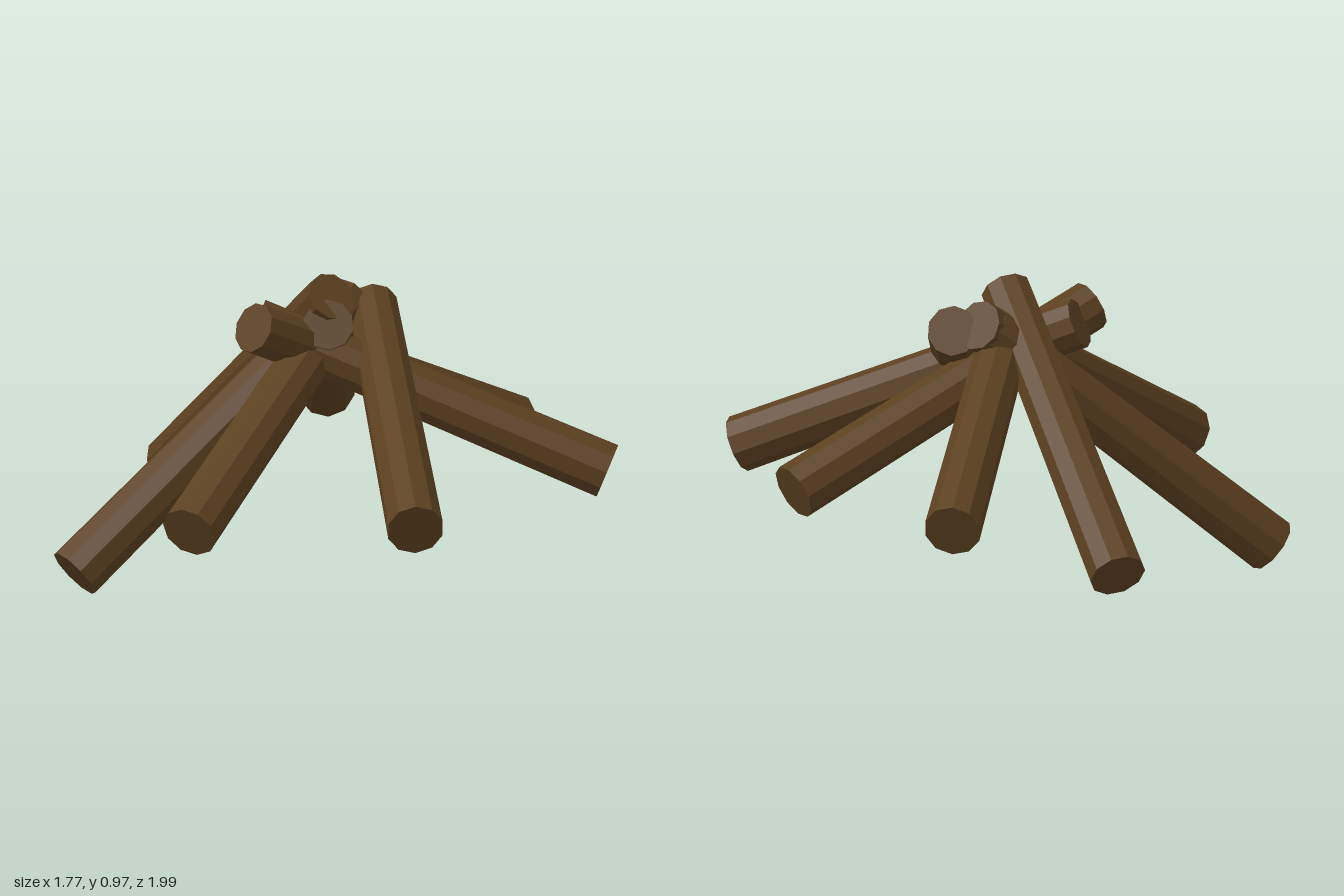
import * as THREE from 'three';

// Each log: outer (low) end, then inner (raised) end
const LOGS = [
  [[0.19, 0.35, 0.96], [0.14, 0.83, -0.14]],
  [[0.85, 0.365, 0.225], [-0.24, 0.82, 0.05]],
  [[0.61, 0.375, -0.455], [-0.26, 0.84, 0.21]],
  [[0.06, 0.38, -0.96], [-0.02, 0.83, 0.14]],
  [[-0.44, 0.2, -0.755], [-0.005, 0.91, 0.09]],
  [[-0.505, 0.31, 0.76], [0.06, 0.85, -0.14]],
  [[-0.825, 0.07, 0.25], [0.03, 0.825, -0.105]],
];

export function createModel() {
  const group = new THREE.Group();
  group.name = 'logPile';
  const bark = new THREE.MeshStandardMaterial({ color: 0x5c4020, flatShading: true });
  bark.name = 'brown wood';

  // Slightly tapered ten-sided logs leaning together at the centre
  LOGS.forEach(([outer, inner], i) => {
    const a = new THREE.Vector3(...outer);
    const b = new THREE.Vector3(...inner);
    const dir = b.clone().sub(a);
    const log = new THREE.Mesh(new THREE.CylinderGeometry(0.08, 0.09, dir.length(), 10), bark);
    log.name = `log${i + 1}`;
    log.position.copy(a).add(b).multiplyScalar(0.5);
    log.quaternion.setFromUnitVectors(new THREE.Vector3(0, 1, 0), dir.normalize());
    group.add(log);
  });
  return group;
}
